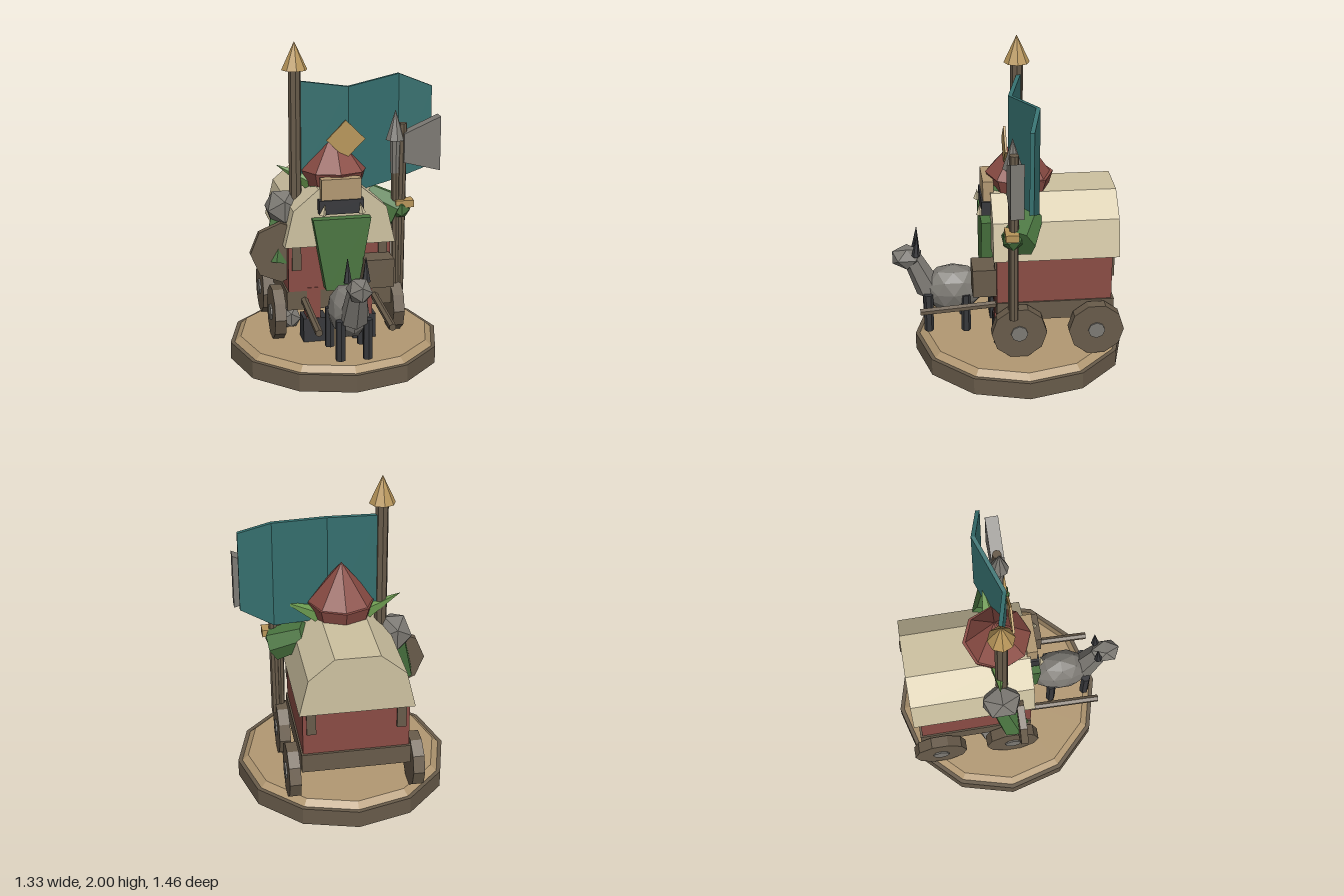
import * as THREE from 'three';

const V = (x, y, z) => new THREE.Vector3(x, y, z);

export function createModel() {
  const root = new THREE.Group();
  root.name = 'goatWagon';

  const mat = (name, color) => {
    const m = new THREE.MeshStandardMaterial({ color, flatShading: true });
    m.name = name;
    return m;
  };
  const wood = mat('wood', 0x685b4a);
  const tan = mat('tan', 0xb29872);
  const red = mat('red', 0x8a4c44);
  const cream = mat('cream', 0xcdc1a0);
  const green = mat('green', 0x4a7540);
  const leaf = mat('lightGreen', 0x6a984e);
  const teal = mat('teal', 0x35706f);
  const gold = mat('gold', 0xb8965a);
  const grey = mat('grey', 0x7c7973);
  const dark = mat('charcoal', 0x37383b);

  const add = (name, geo, m, x = 0, y = 0, z = 0) => {
    const mesh = new THREE.Mesh(geo, m);
    mesh.name = name;
    mesh.position.set(x, y, z);
    root.add(mesh);
    return mesh;
  };
  // Box given by its minimum and maximum corners
  const box = (name, m, x0, x1, y0, y1, z0, z1) =>
    add(name, new THREE.BoxGeometry(x1 - x0, y1 - y0, z1 - z0), m,
      (x0 + x1) / 2, (y0 + y1) / 2, (z0 + z1) / 2);
  // Tapered rod from point a to point b
  const rod = (name, m, a, b, r0, r1 = r0, seg = 8) => {
    const d = b.clone().sub(a);
    const mesh = add(name, new THREE.CylinderGeometry(r1, r0, d.length(), seg), m);
    mesh.position.copy(a).addScaledVector(d, 0.5);
    mesh.quaternion.setFromUnitVectors(V(0, 1, 0), d.normalize());
    return mesh;
  };
  // Outline in x,y pushed along z
  const slab = (name, m, pts, z0, z1) => {
    const shape = new THREE.Shape(pts.map(([x, y]) => new THREE.Vector2(x, y)));
    const geo = new THREE.ExtrudeGeometry(shape, { depth: z1 - z0, bevelEnabled: false });
    return add(name, geo, m, 0, 0, z0);
  };
  // Faceted lump
  const lump = (name, m, x, y, z, sx, sy, sz, detail = 0) =>
    add(name, new THREE.IcosahedronGeometry(1, detail).scale(sx, sy, sz), m, x, y, z);

  // Round base
  add('basePlinth', new THREE.CylinderGeometry(0.665, 0.665, 0.11, 12), wood, 0, 0.055, -0.07);
  add('baseGround', new THREE.CylinderGeometry(0.6, 0.64, 0.036, 12), tan, 0, 0.127, -0.07);

  // Wagon body and canopy
  box('wagonFrame', wood, -0.33, 0.33, 0.36, 0.48, -0.62, 0.1);
  box('wagonBody', red, -0.32, 0.32, 0.48, 0.8, -0.605, 0.1);
  slab('canopy', cream, [[-0.345, 0.77], [0.345, 0.77], [0.29, 1.0], [0.135, 1.13],
    [-0.135, 1.13], [-0.29, 1.0]], -0.645, 0.12);
  for (const s of [-1, 1]) {
    for (const z of [-0.593, 0.083])
      box('cornerPost', wood, s * 0.27 - 0.028, s * 0.27 + 0.028, 0.62, 0.79, z - 0.028, z + 0.028);
    for (const z of [-0.505, -0.03]) {
      rod('wheel', wood, V(s * 0.34, 0.31, z), V(s * 0.41, 0.31, z), 0.17, 0.17, 10)
        .rotation.set(0, 0, Math.PI / 2);
      rod('wheelHub', grey, V(s * 0.36, 0.31, z), V(s * 0.42, 0.31, z), 0.052);
    }
    rod('pullShaft', wood, V(s * 0.222, 0.42, 0.08), V(s * 0.222, 0.385, 0.565), 0.023, 0.023, 6);
  }
  box('crate', wood, 0.13, 0.31, 0.52, 0.7, 0.1, 0.245);
  lump('rock', grey, -0.27, 0.215, -0.16, 0.075, 0.08, 0.08);

  // Driver: legs, chest, head
  for (const s of [-1, 1]) {
    box('boot', dark, s * 0.157 - 0.073, s * 0.157 + 0.073, 0.145, 0.3, -0.02, 0.11);
    box('trouserLeg', red, s * 0.165 - 0.042, s * 0.165 + 0.042, 0.3, 0.5, 0, 0.105);
    rod('ear', leaf, V(s * 0.13, 1.12, -0.08), V(s * 0.355, 1.24, -0.1), 0.06, 0.001, 5);
    const tusk = add('tusk', new THREE.ConeGeometry(0.022, 0.07, 4), cream, s * 0.115, 1.02, 0.185);
    tusk.rotation.z = s * 0.2;
  }
  slab('chest', green, [[-0.1, 0.5], [0.1, 0.5], [0.18, 0.955], [-0.18, 0.955]], 0.02, 0.18);
  lump('head', green, 0, 1.08, -0.04, 0.17, 0.16, 0.17, 1);
  box('face', tan, -0.125, 0.12, 1.06, 1.2, 0.1, 0.165);
  box('jaw', dark, -0.14, 0.135, 0.985, 1.072, 0.08, 0.175);
  add('hatBrim', new THREE.CylinderGeometry(0.205, 0.175, 0.1, 8), red, 0, 1.16, -0.07);
  const hat = add('hatCrown', new THREE.ConeGeometry(0.205, 0.26, 8), red, 0, 1.335, -0.07);
  hat.rotation.x = -0.06;

  // Arm, shoulder guard and shield on the right
  lump('shoulderGuard', grey, -0.325, 0.97, -0.09, 0.115, 0.125, 0.135);
  rod('shieldArm', green, V(-0.32, 0.95, -0.1), V(-0.375, 0.64, -0.02), 0.075, 0.095, 6);
  rod('shield', wood, V(-0.355, 0.72, 0), V(-0.355, 0.72, 0.045), 0.19)
    .rotation.set(Math.PI / 2, Math.PI / 8 * 2, 0);

  // Arm and weapons on the left
  rod('weaponArm', green, V(0.22, 1.01, -0.11), V(0.4, 0.92, -0.02), 0.085, 0.11, 7);
  lump('hand', green, 0.4, 0.95, 0.01, 0.07, 0.07, 0.07);
  rod('axeShaft', wood, V(0.405, 0.41, 0.005), V(0.415, 1.49, 0.005), 0.028);
  rod('spearShaft', wood, V(0.375, 0.42, 0.01), V(0.368, 1.4, 0.01), 0.026);
  rod('spearTip', grey, V(0.367, 1.39, 0.01), V(0.367, 1.575, 0.01), 0.06, 0.001);
  rod('spearSocket', grey, V(0.367, 1.18, 0.01), V(0.367, 1.39, 0.01), 0.027, 0.034);
  slab('axeBlade', grey, [[0.415, 1.25], [0.645, 1.19], [0.645, 1.53], [0.415, 1.43]], -0.03, 0.05);
  box('weaponBand', gold, 0.365, 0.48, 0.965, 1.01, -0.02, 0.06);

  // Banner pole and folded cloth
  rod('bannerPole', wood, V(-0.242, 0.8, -0.075), V(-0.242, 1.84, -0.075), 0.039);
  rod('bannerFinial', gold, V(-0.242, 1.83, -0.075), V(-0.242, 2, -0.075), 0.08, 0.001);
  // Each fold: x, z, bottom, top
  const folds = [[-0.22, -0.085, 1.13, 1.76], [0.075, -0.005, 1.06, 1.73],
    [0.42, -0.13, 1.11, 1.775], [0.615, -0.075, 1.2, 1.7]];
  const rings = folds.map(([x, z, b, t]) => [V(x, b, z + 0.013), V(x, t, z + 0.013),
    V(x, t, z - 0.013), V(x, b, z - 0.013)]);
  const tri = [];
  const quad = (a, b, c, d) => tri.push(a, b, c, a, c, d);
  for (let i = 0; i < 3; i++)
    for (let k = 0; k < 4; k++) {
      const n = (k + 1) % 4;
      quad(rings[i][k], rings[i + 1][k], rings[i + 1][n], rings[i][n]);
    }
  quad(...rings[0]);
  quad(...[...rings[3]].reverse());
  const cloth = new THREE.BufferGeometry().setFromPoints(tri);
  cloth.computeVertexNormals();
  add('bannerCloth', cloth, teal);
  const emblem = add('bannerDiamond', new THREE.BoxGeometry(0.17, 0.17, 0.014), gold, 0.053, 1.41, 0.028);
  emblem.rotation.z = Math.PI / 4;

  // Goat
  lump('goatBody', grey, 0, 0.43, 0.35, 0.125, 0.16, 0.195, 1);
  rod('goatNeck', grey, V(0, 0.43, 0.5), V(0, 0.67, 0.61), 0.085, 0.058, 6);
  lump('goatHead', grey, 0, 0.66, 0.635, 0.08, 0.08, 0.105);
  for (const s of [-1, 1]) {
    rod('goatHorn', dark, V(s * 0.055, 0.69, 0.58), V(s * 0.055, 0.835, 0.57), 0.026, 0.002, 6);
    rod('goatFrontLeg', dark, V(s * 0.083, 0.18, 0.51), V(s * 0.083, 0.43, 0.51), 0.03, 0.03, 6);
    rod('goatBackLeg', dark, V(s * 0.1, 0.18, 0.277), V(s * 0.1, 0.43, 0.277), 0.03, 0.03, 6);
  }
  return root;
}
